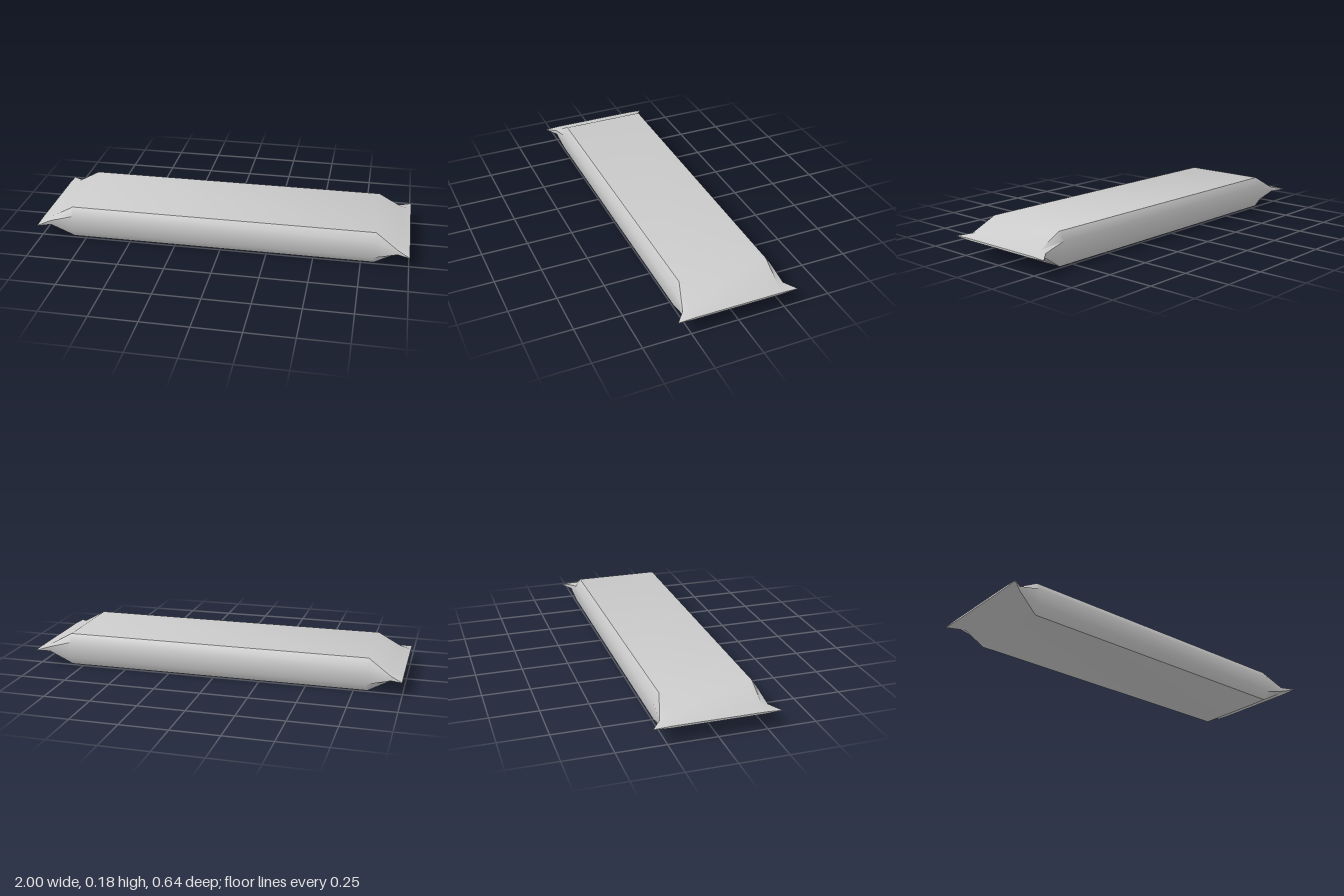
import * as THREE from 'three';
import { toCreasedNormals } from 'three/addons/utils/BufferGeometryUtils.js';

// Sealed flow-pack wrapper: eight-sided sections lofted along x.
const MID_Y = 0.088;

// Half of the sections: x, flat half width, flat half height, side half width, side half height
const HALF = [
  [0.82, 0.235, 0.088, 0.265, 0.044],
  [0.94, 0.235, 0.022, 0.27, 0.012],
  [1.0, 0.235, 0.005, 0.32, 0.001],
];

function ring([x, w, h, s, m]) {
  return [[w, h], [s, m], [s, -m], [w, -h], [-w, -h], [-s, -m], [-s, m], [-w, h]]
    .map(([z, y]) => [x, MID_Y + y, z]);
}

function loft(rings) {
  const n = rings[0].length;
  const last = rings.length - 1;
  const index = [];
  // walls
  for (let i = 0; i < last; i++) {
    for (let j = 0; j < n; j++) {
      const a = i * n + j, a2 = i * n + (j + 1) % n;
      const b = a + n, b2 = a2 + n;
      index.push(a, a2, b2, a, b2, b);
    }
  }
  // end caps
  for (let j = 1; j < n - 1; j++) {
    index.push(0, j + 1, j);
    index.push(last * n, last * n + j, last * n + j + 1);
  }
  const geometry = new THREE.BufferGeometry();
  geometry.setAttribute('position', new THREE.Float32BufferAttribute(rings.flat(2), 3));
  geometry.setIndex(index);
  return toCreasedNormals(geometry, 0.7);
}

export function createModel() {
  const group = new THREE.Group();
  group.name = 'wrappedBar';

  // mirror the half sections to the right end
  const mirrored = HALF.map(([x, ...rest]) => [-x, ...rest]).reverse();
  const wrapper = new THREE.Mesh(
    loft([...mirrored, ...HALF].map(ring)),
    new THREE.MeshStandardMaterial({ color: 0xcccccc })
  );
  wrapper.name = 'wrapper';
  group.add(wrapper);
  return group;
}
